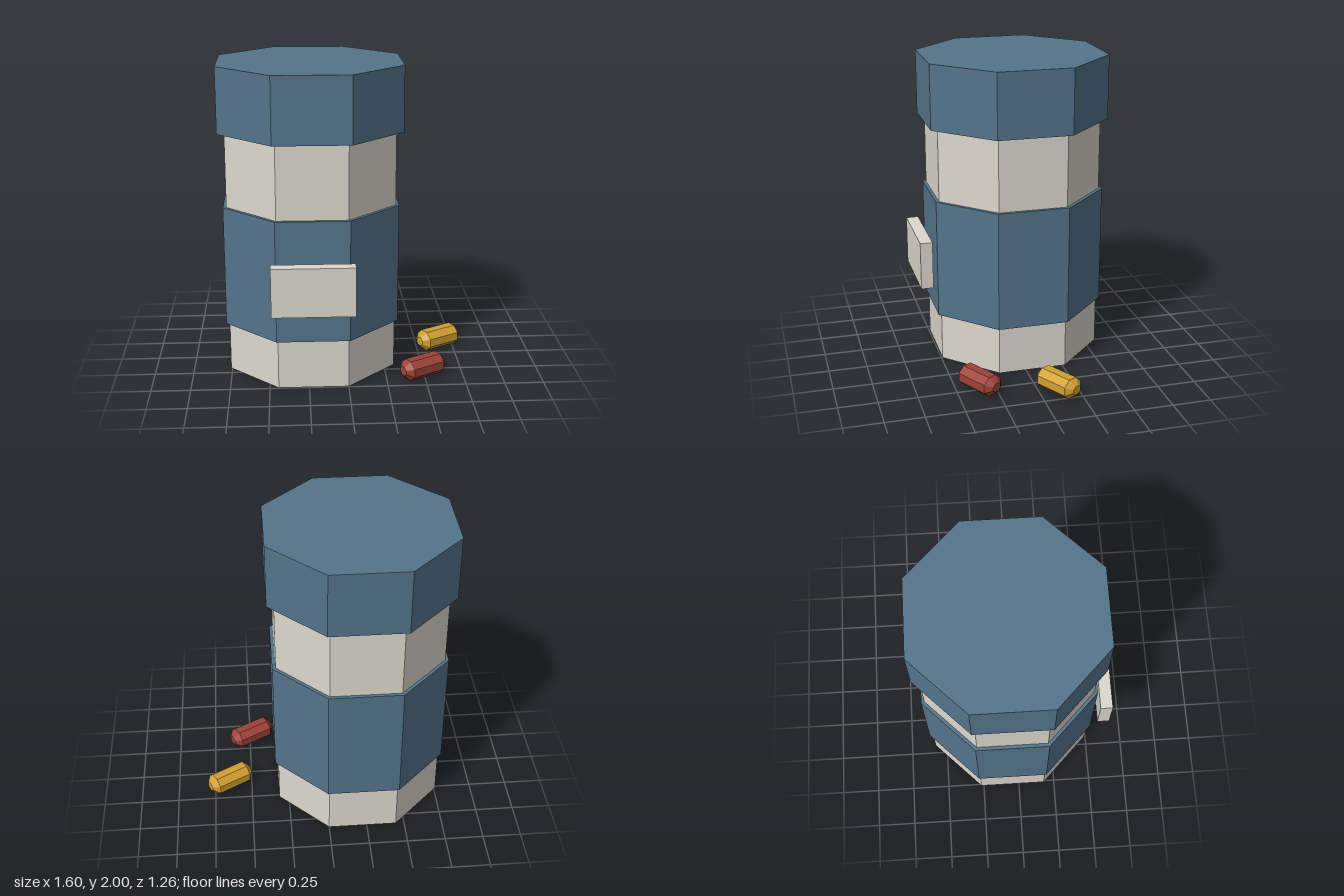
import * as THREE from 'three';

const flat = (name, color) => {
  const m = new THREE.MeshStandardMaterial({ color, flatShading: true });
  m.name = name;
  return m;
};

export function createModel() {
  const model = new THREE.Group();
  model.name = 'pillBottle';
  const blue = flat('slate blue', 0x54748a);
  const cream = flat('warm cream', 0xdcd8ce);
  const red = flat('brick red', 0x9e4238);
  const yellow = flat('mustard', 0xd1a030);

  const add = (name, geometry, material, x, y, z) => {
    const mesh = new THREE.Mesh(geometry, material);
    mesh.name = name;
    mesh.position.set(x, y, z);
    model.add(mesh);
    return mesh;
  };

  // Octagonal bottle sections, sized by the distance from axis to flat side
  const cx = -0.222, cz = -0.045;
  const section = (name, material, apothem, y0, y1) => {
    const r = apothem / Math.cos(Math.PI / 8);
    const geometry = new THREE.CylinderGeometry(r, r, y1 - y0, 8, 1, false, Math.PI / 8);
    add(name, geometry, material, cx, (y0 + y1) / 2, cz);
  };
  section('bottleBody', cream, 0.537, 0, 1.58);
  section('wrapBand', blue, 0.558, 0.32, 1.105);
  section('cap', blue, 0.582, 1.58, 2);

  // Label plate floating in front of the band
  add('labelPlate', new THREE.BoxGeometry(0.52, 0.315, 0.08), cream, cx, 0.687, 0.588);

  // Faceted pills with bevelled ends, lying on the ground
  const profile = [[0, -0.155], [0.034, -0.155], [0.078, -0.117],
    [0.078, 0.117], [0.034, 0.155], [0, 0.155]].map(([r, y]) => new THREE.Vector2(r, y));
  const pillGeometry = new THREE.LatheGeometry(profile, 8, Math.PI / 8);
  pillGeometry.rotateZ(-Math.PI / 2);
  pillGeometry.scale(1, 0.917, 1);
  const pill = (name, material, x, z) => {
    add(name, pillGeometry, material, x, 0.066, z).rotation.y = Math.PI / 6;
  };
  pill('redPill', red, 0.488, 0.351);
  pill('yellowPill', yellow, 0.648, -0.121);

  return model;
}
